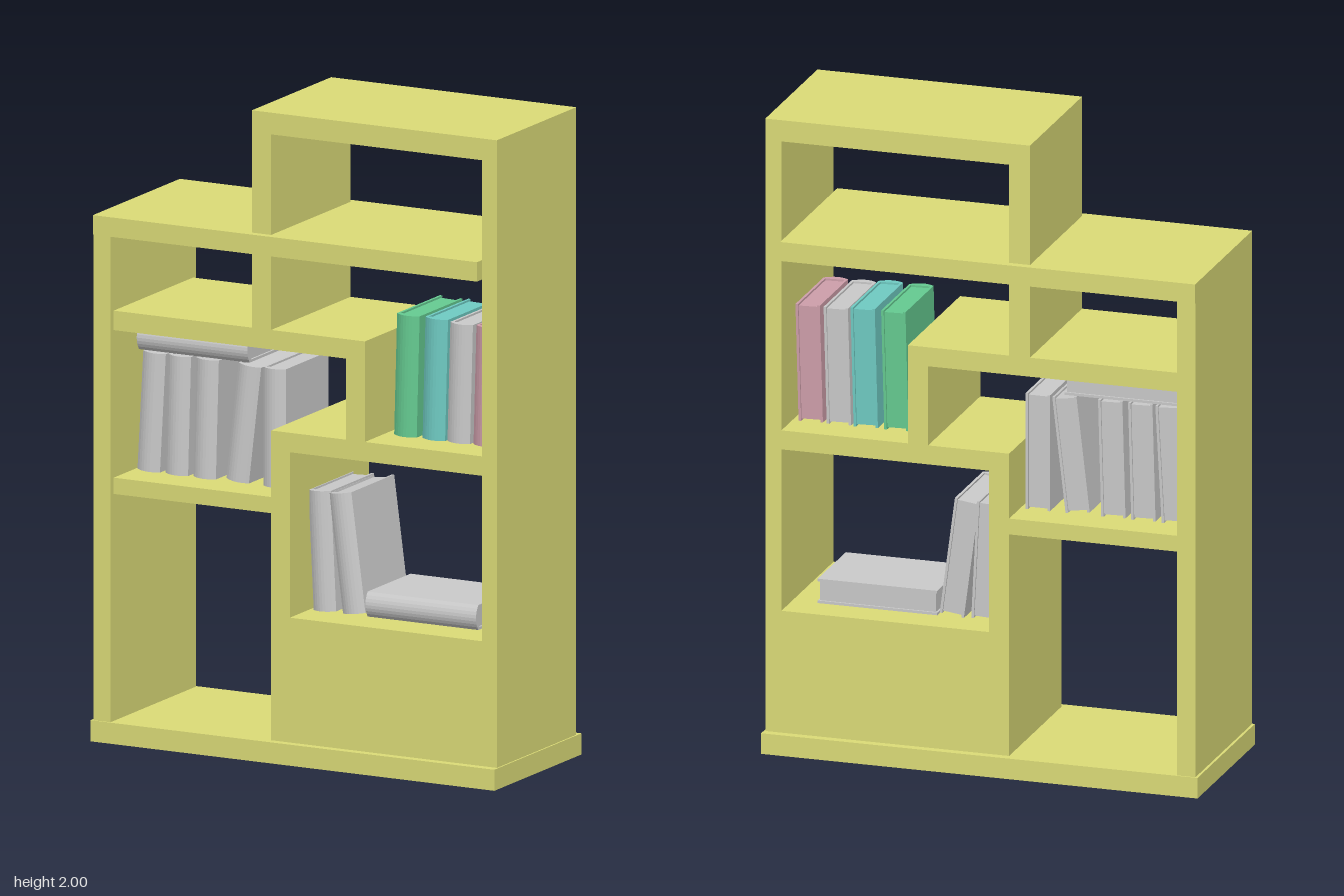
import * as THREE from 'three';

const mat = (color) => new THREE.MeshStandardMaterial({ color });
const wood = mat(0xdddd78);
const grey = mat(0xcccccc);
const green = mat(0x66cc92);
const teal = mat(0x70ccc4);
const pink = mat(0xd0a0ac);

// Board spanning x0..x1 and y0..y1, centred on z
function board(name, x0, x1, y0, y1, depth = 0.5) {
  const mesh = new THREE.Mesh(new THREE.BoxGeometry(x1 - x0, y1 - y0, depth), wood);
  mesh.name = name;
  mesh.position.set((x0 + x1) / 2, (y0 + y1) / 2, 0);
  return mesh;
}

// Upright book standing on its origin, rounded spine towards +z
const THICK = 0.077, BACK = -0.145, FRONT = 0.125;
function book(name, material, height = 0.37) {
  const group = new THREE.Group();
  group.name = name;
  const h = THICK / 2, c = 0.008;
  const s = new THREE.Shape();
  s.moveTo(-h, -BACK);
  s.lineTo(-h, -FRONT);
  s.quadraticCurveTo(0, -FRONT - 0.03, h, -FRONT);
  s.lineTo(h, -BACK);
  s.lineTo(h - c, -BACK);
  s.lineTo(h - c, -FRONT + c);
  s.lineTo(-h + c, -FRONT + c);
  s.lineTo(-h + c, -BACK);
  const coverGeo = new THREE.ExtrudeGeometry(s, { depth: height, bevelEnabled: false, curveSegments: 8 });
  coverGeo.rotateX(-Math.PI / 2);
  const cover = new THREE.Mesh(coverGeo, material);
  cover.name = 'cover';
  const pages = new THREE.Mesh(
    new THREE.BoxGeometry(THICK - 2 * c, height - 0.012, FRONT - BACK - c - 0.006), material);
  pages.name = 'pages';
  pages.position.set(0, height / 2, (FRONT - c + BACK + 0.006) / 2);
  group.add(cover, pages);
  return group;
}

export function createModel() {
  const model = new THREE.Group();
  model.name = 'bookcase';

  // Frame and shelves
  model.add(
    board('base', -0.69, 0.69, 0, 0.065, 0.55),
    board('rightOuterPanel', -0.682, -0.624, 0.065, 1.57, 0.54),
    board('leftOuterPanel', 0.634, 0.685, 0.065, 2),
    board('wideShelf', -0.682, 0.63, 1.563, 1.623, 0.548),
    board('topBoard', -0.152, 0.634, 1.933, 2),
    board('upperDividerTop', -0.152, -0.086, 1.623, 1.933),
    board('upperDivider', -0.152, -0.086, 1.33, 1.563),
    board('middleShelf', -0.624, 0.234, 1.27, 1.33),
    board('middleDivider', 0.17, 0.234, 1.02, 1.27),
    board('steppedShelf', -0.086, 0.634, 0.96, 1.02),
    board('lowerDivider', -0.086, -0.022, 0.45, 0.96),
    board('lowShelf', -0.624, -0.086, 0.765, 0.815),
    board('lowerCabinet', -0.086, 0.634, 0.065, 0.45),
  );

  // Standing books: bottom centre x, shelf y, sideways lean at the top, height, material
  const standing = [
    [0.305, 1.02, 0.01, 0.375, green],
    [0.402, 1.02, 0.01, 0.375, teal],
    [0.487, 1.02, 0.01, 0.368, grey],
    [0.576, 1.02, 0.01, 0.368, pink],
    [-0.572, 0.815, 0.02, 0.368, grey],
    [-0.476, 0.815, 0.01, 0.368, grey],
    [-0.381, 0.815, 0.01, 0.368, grey],
    [-0.268, 0.815, 0.042, 0.364, grey],
    [-0.142, 0.815, 0, 0.366, grey],
    [0.03, 0.45, -0.018, 0.37, grey],
    [0.13, 0.45, -0.048, 0.37, grey],
  ];
  standing.forEach(([x, y, lean, height, material], i) => {
    const b = book(`standingBook${i + 1}`, material, height);
    const angle = Math.asin(lean / height);
    b.rotation.z = -angle;
    b.position.set(x, y + Math.abs(Math.sin(angle)) * THICK / 2, 0);
    model.add(b);
  });

  // Books lying flat: start x, shelf y
  [[-0.605, 1.188], [0.176, 0.45]].forEach(([x, y], i) => {
    const b = book(`flatBook${i + 1}`, grey, 0.378);
    b.rotation.z = -Math.PI / 2;
    b.position.set(x, y + THICK / 2, 0);
    model.add(b);
  });

  return model;
}
